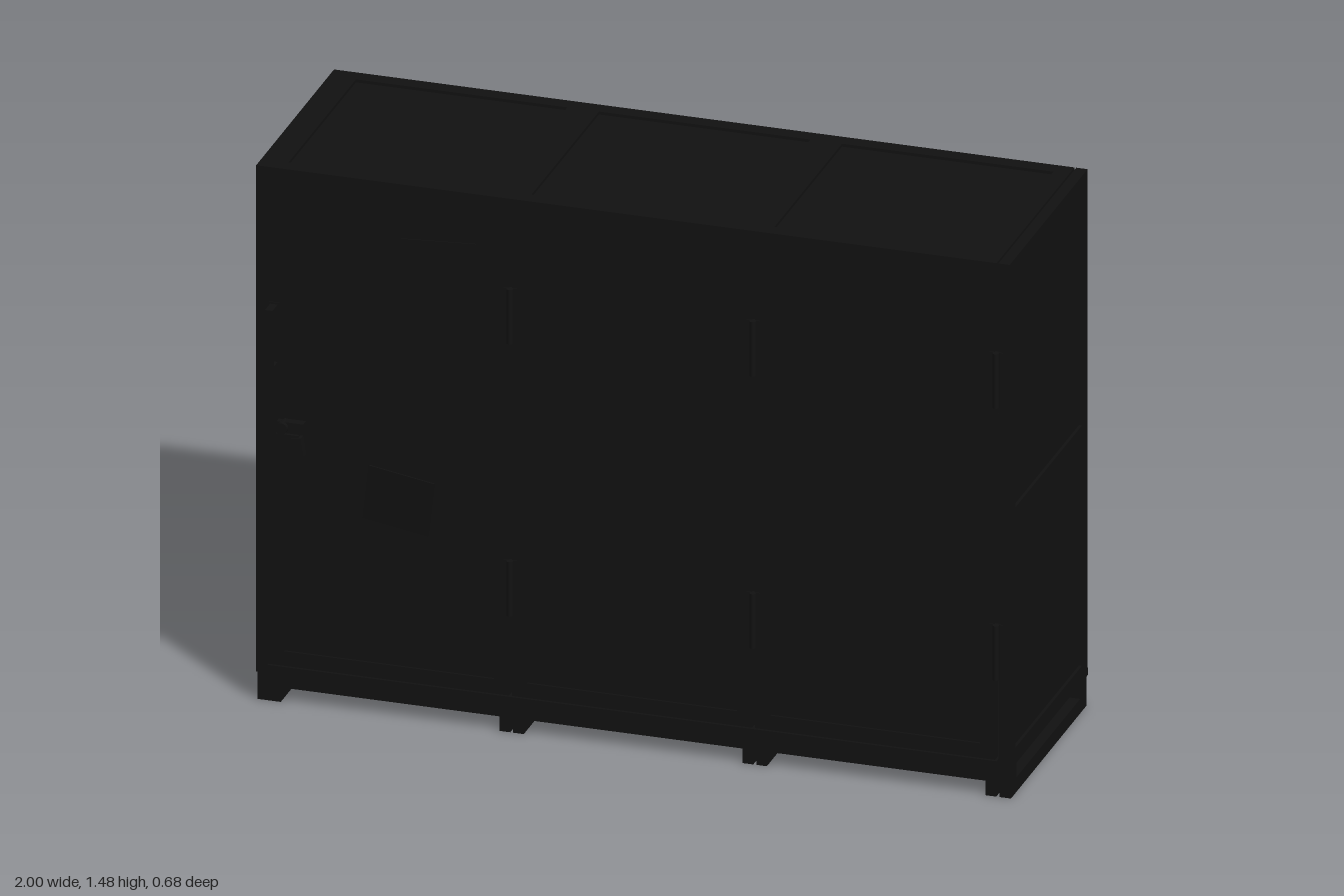
import * as THREE from 'three';

export function createModel() {
  const root = new THREE.Group();
  const mat = new THREE.MeshStandardMaterial({ color: 0x111111 });

  const add = (name, geo, parent = root) => {
    const m = new THREE.Mesh(geo, mat);
    m.name = name;
    parent.add(m);
    return m;
  };
  // Box given by its limits on each axis
  const box = (name, x0, x1, y0, y1, z0, z1, parent = root) => {
    const m = add(name, new THREE.BoxGeometry(x1 - x0, y1 - y0, z1 - z0), parent);
    m.position.set((x0 + x1) / 2, (y0 + y1) / 2, (z0 + z1) / 2);
    return m;
  };

  // Frame with recessed panels stacked in rows; outer face lies at local z = 0
  const framed = (name, w, h, border, depth, rows = 1, rail = 0.02, recess = 0.008) => {
    const g = new THREE.Group();
    g.name = name;
    const shape = new THREE.Shape([[0, 0], [w, 0], [w, h], [0, h]].map(([x, y]) => new THREE.Vector2(x - w / 2, y - h / 2)));
    const ph = (h - 2 * border - (rows - 1) * rail) / rows;
    for (let i = 0; i < rows; i++) {
      const y0 = -h / 2 + border + i * (ph + rail), x0 = -w / 2 + border;
      shape.holes.push(new THREE.Path([
        new THREE.Vector2(x0, y0), new THREE.Vector2(x0, y0 + ph),
        new THREE.Vector2(-x0, y0 + ph), new THREE.Vector2(-x0, y0)]));
      box('panel', x0, -x0, y0, y0 + ph, -depth + 0.004, -recess, g);
    }
    const frame = add('frame', new THREE.ExtrudeGeometry(shape, { depth, bevelEnabled: false }), g);
    frame.position.z = -depth;
    root.add(g);
    return g;
  };

  const front = 0.295, back = -0.335, top = 1.475, base = 0.08;
  const midZ = (front + back) / 2, gap = 0.004;
  const seams = [-0.97, -0.325, 0.32, 0.965];

  // End walls
  for (const s of [-1, 1]) {
    const wall = framed(s < 0 ? 'rightEndWall' : 'leftEndWall', front - back, top - base, 0.045, 0.03, 2);
    wall.position.set(s, (top + base) / 2, midZ);
    wall.rotation.y = s * Math.PI / 2;
  }

  for (let i = 0; i < 3; i++) {
    const x0 = seams[i] + gap, x1 = seams[i + 1] - gap, w = x1 - x0, cx = (x0 + x1) / 2;

    // Door leaf in the front
    const door = framed('doorLeaf', w, 1.335, 0.04, 0.025, 1, 0, 0.006);
    door.position.set(cx, 0.773, front);

    // Back wall section
    const rear = framed('backWall', w, 1.34, 0.045, 0.025, 2);
    rear.position.set(cx, 0.77, back);
    rear.rotation.y = Math.PI;

    // Roof and floor sections
    const roof = framed('roofSection', seams[i + 1] - seams[i], front - back, 0.042, 0.035);
    roof.position.set((seams[i] + seams[i + 1]) / 2, top, midZ);
    roof.rotation.x = -Math.PI / 2;
    const floor = framed('floorSection', seams[i + 1] - seams[i], front - back, 0.03, 0.022);
    floor.position.set((seams[i] + seams[i + 1]) / 2, base, midZ);
    floor.rotation.x = Math.PI / 2;

    // Base beams and skids
    box('frontBaseBeam', x0, x1, 0.04, base, 0.24, 0.285);
    box('backBaseBeam', x0, x1, 0.04, base, -0.325, -0.275);
    box('skid', x0, x0 + 0.028, 0, 0.04, -0.325, 0.285);
    box('skid', x1 - 0.028, x1, 0, 0.04, -0.325, 0.285);
  }
  // Skids under the end walls
  box('endSkid', -1, -0.966, 0, 0.04, -0.325, 0.285);
  box('endSkid', 0.969, 1, 0, 0.04, -0.325, 0.285);
  for (const [a, b] of [[-1, -0.966], [0.969, 1]]) {
    box('endFoot', a, b, 0.04, base, 0.24, 0.285);
    box('endFoot', a, b, 0.04, base, -0.325, -0.275);
  }
  box('backSill', -1, 1, base, 0.1, back - 0.002, back + 0.02);
  // Seal strip behind the second door joint
  box('doorSeal', 0.31, 0.33, 0.1, 1.44, front - 0.04, front - 0.026);

  // Hinges
  for (const x of seams.slice(1)) {
    for (const y of [0.405, 1.155]) {
      const pin = add('hinge', new THREE.CylinderGeometry(0.009, 0.009, 0.15, 12));
      pin.position.set(x, y, 0.301);
      box('hingePlate', x - 0.018, x + 0.018, y - 0.075, y + 0.075, 0.29, 0.298);
    }
  }

  // Pull handle
  const pull = new THREE.Group();
  pull.name = 'pullHandle';
  box('grip', -0.962, -0.942, 0.93, 1.1, 0.327, 0.34, pull);
  for (const y of [0.93, 1.088]) box('gripArm', -0.962, -0.942, y, y + 0.012, 0.29, 0.33, pull);
  box('gripPlate', -0.966, -0.938, 0.905, 1.105, 0.29, 0.298, pull);
  root.add(pull);

  // Lock with lever
  const lock = new THREE.Group();
  lock.name = 'lock';
  box('lockPlate', -0.94, -0.87, 0.755, 0.785, 0.285, 0.312, lock);
  const knob = add('lockKnob', new THREE.CylinderGeometry(0.016, 0.016, 0.035, 16), lock);
  knob.rotation.x = Math.PI / 2;
  knob.position.set(-0.925, 0.77, 0.306);
  const lever = box('lockLever', -0.895, -0.868, 0.7, 0.75, 0.306, 0.325, lock);
  lever.rotation.z = 0.15;
  box('lockHasp', -0.94, -0.88, 0.742, 0.755, 0.3, 0.32, lock);
  root.add(lock);

  // Two sheets fixed askew to the first door
  const low = add('lowerSheet', new THREE.BoxGeometry(0.18, 0.15, 0.004));
  low.position.set(-0.62, 0.605, 0.3);
  low.rotation.set(0.03, -0.08, -0.12);
  const high = add('upperSheet', new THREE.BoxGeometry(0.2, 0.26, 0.004));
  high.position.set(-0.51, 1.2, 0.29);
  high.rotation.z = 0.06;

  return root;
}
